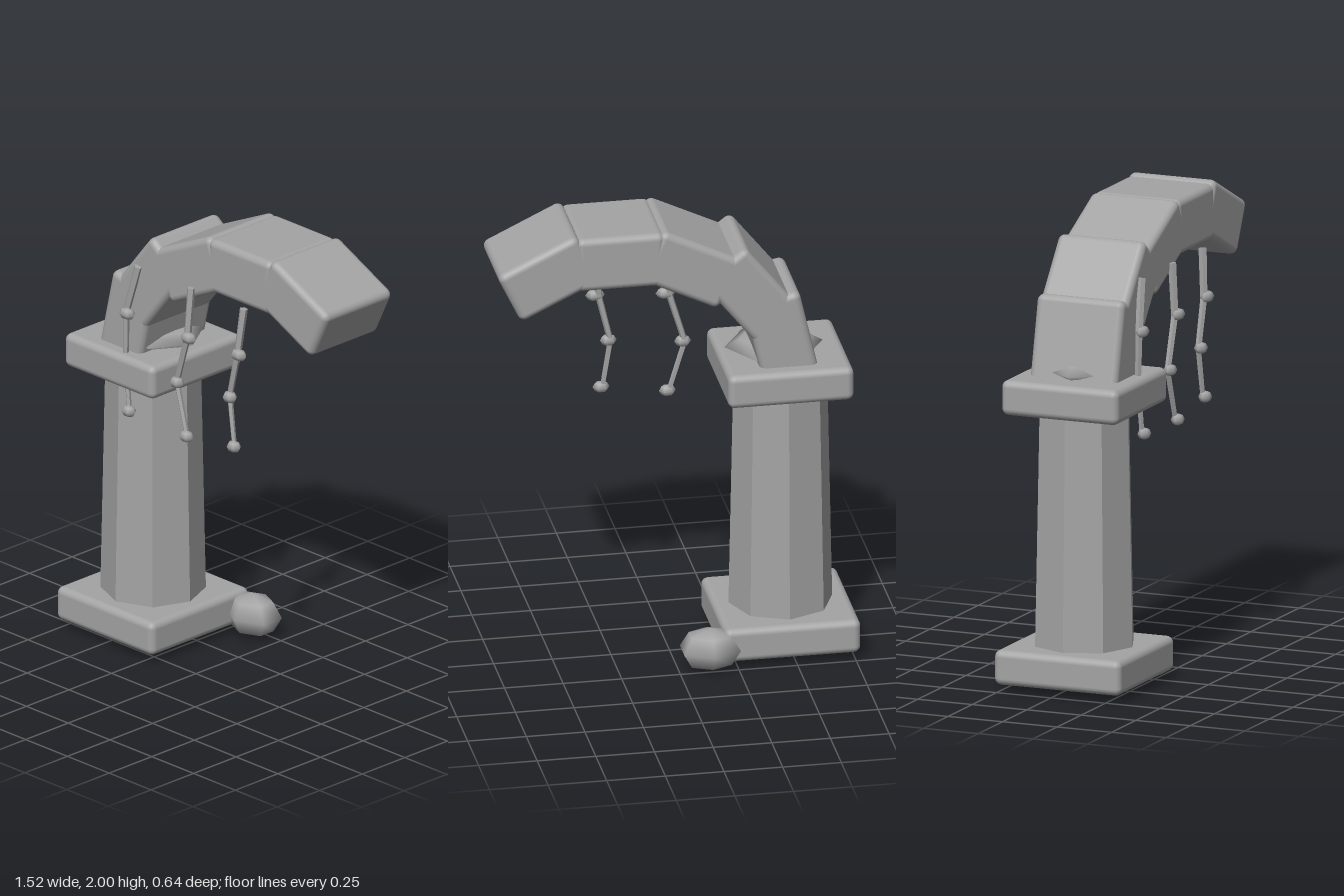
import * as THREE from 'three';
import { RoundedBoxGeometry } from 'three/addons/geometries/RoundedBoxGeometry.js';

export function createModel() {
  const model = new THREE.Group();
  model.name = 'brokenArch';
  const stone = new THREE.MeshStandardMaterial({ color: 0xa4a4a4 });
  stone.name = 'stone grey';
  const Z = 0.032; // shared depth centre of pillar and arch

  function add(name, geometry, x, y, z, parent = model) {
    const mesh = new THREE.Mesh(geometry, stone);
    mesh.name = name;
    mesh.position.set(x, y, z);
    parent.add(mesh);
    return mesh;
  }

  // Low-poly ellipsoid boulder
  function boulder(rx, ry, rz, turn = 0) {
    return new THREE.SphereGeometry(1, 6, 4).rotateY(turn).scale(rx, ry, rz);
  }

  // Pillar: plinth, tapered octagonal shaft, capital
  add('plinth', new RoundedBoxGeometry(0.58, 0.15, 0.58, 3, 0.03), -0.48, 0.115, Z);
  const shaft = new THREE.CylinderGeometry(0.2, 0.222, 1.1, 8).toNonIndexed();
  shaft.computeVertexNormals();
  add('shaft', shaft, -0.478, 0.7, Z);
  add('capital', new RoundedBoxGeometry(0.535, 0.15, 0.535, 3, 0.03), -0.478, 1.27, Z);

  // Overlapping arch blocks, each turned a seventh of a half circle
  const blocks = [[-0.45, 1.474], [-0.318, 1.68], [-0.062, 1.818], [0.236, 1.877], [0.543, 1.826]];
  blocks.forEach(([x, y], i) => {
    const block = add('archBlock' + (i + 1), new RoundedBoxGeometry(0.375, 0.24, 0.4, 3, 0.03), x, y, Z);
    block.rotation.z = (3 - i) * Math.PI / 7;
  });

  // Fallen stone and flat rubble on the capital
  add('fallenStone', boulder(0.139, 0.093, 0.107, Math.PI / 2), -0.134, 0.098, -0.215);
  add('rubble', boulder(0.21, 0.045, 0.19), -0.449, 1.366, Z);

  // Hanging vines: tapered stems with a leaf bud at each joint
  const depths = [0.24, 0.255, 0.252, 0.258];
  const vines = [
    [[-0.355, 1.75], [-0.413, 1.53], [-0.418, 1.32], [-0.39, 1.09]],
    [[-0.038, 1.75], [-0.045, 1.53], [-0.112, 1.305], [-0.045, 1.08]],
    [[0.276, 1.75], [0.255, 1.545], [0.205, 1.335], [0.238, 1.12]],
  ];
  const leafShift = [0.014, 0.008, 0.005];
  const up = new THREE.Vector3(0, 1, 0);
  vines.forEach((path, v) => {
    const vine = new THREE.Group();
    vine.name = 'vine' + (v + 1);
    model.add(vine);
    const pts = path.map(([x, y], i) => new THREE.Vector3(x, y, depths[i]));
    for (let i = 0; i < 3; i++) {
      const dir = pts[i].clone().sub(pts[i + 1]);
      const mid = pts[i].clone().add(pts[i + 1]).multiplyScalar(0.5);
      const r = 0.018 - i * 0.003;
      const stemGeometry = new THREE.CylinderGeometry(r, r * 0.9, dir.length(), 5).toNonIndexed();
      stemGeometry.computeVertexNormals();
      const stem = add('stem', stemGeometry, mid.x, mid.y, mid.z, vine);
      stem.quaternion.setFromUnitVectors(up, dir.normalize());
      const p = pts[i + 1];
      const size = i === 0 ? 0.042 : 0.036;
      add('leafBud', boulder(size, 0.026, 0.028), p.x + leafShift[i], p.y, p.z + 0.008, vine);
    }
  });

  return model;
}
